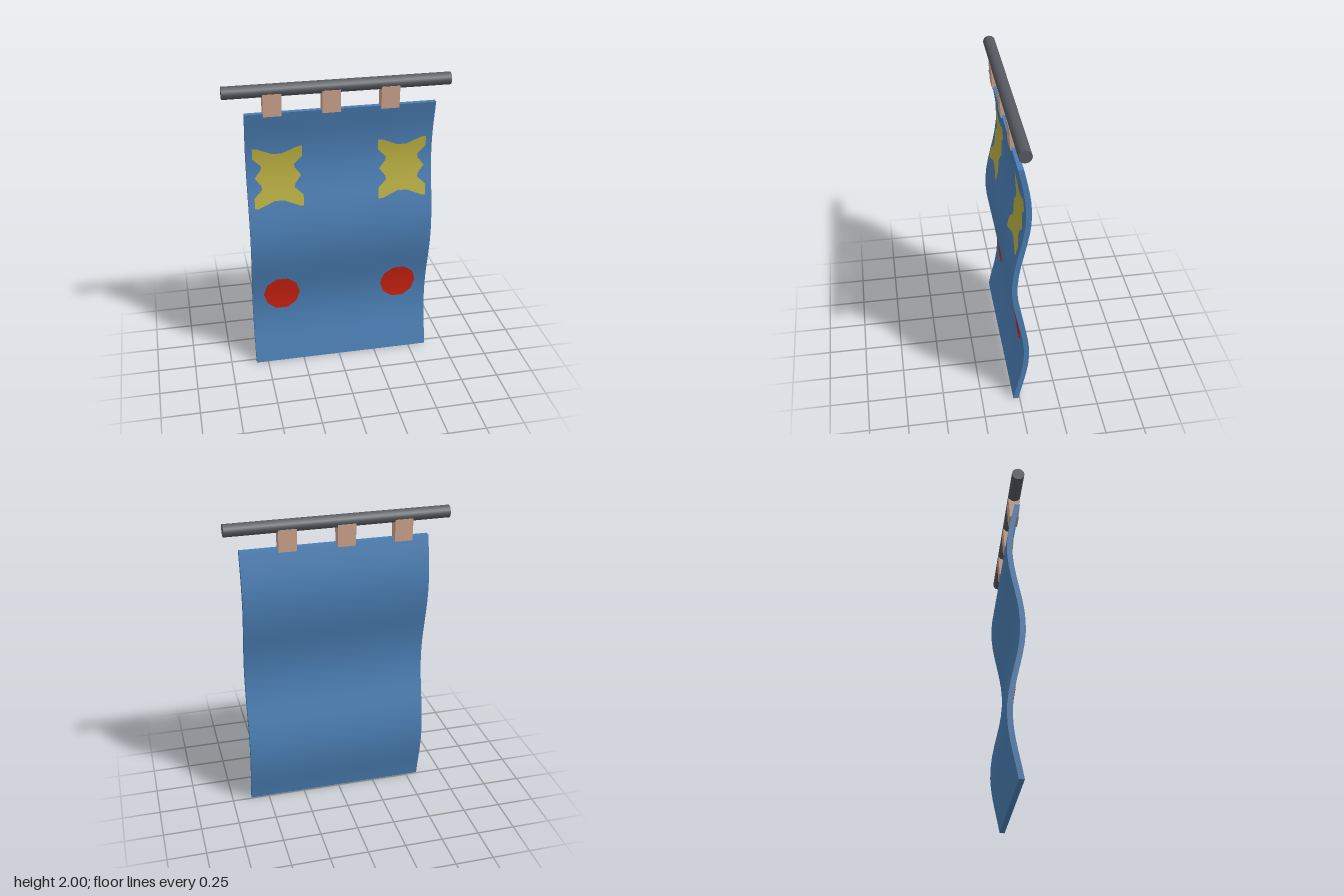
import * as THREE from 'three';
import { toCreasedNormals } from 'three/addons/utils/BufferGeometryUtils.js';

const material = (name, color, side = THREE.FrontSide) =>
  new THREE.MeshStandardMaterial({ name, color, side });

// Depth of the middle of the cloth at height y
const wave = (y) => -0.002 + 0.04 * Math.cos((2 * Math.PI * (y - 0.95)) / 1.1);
const HALF = 0.017;

// Wavy side profile extruded across the width
function clothGeometry(height, x0, x1) {
  const n = 24;
  const front = [], back = [];
  for (let i = 0; i <= n; i++) {
    const y = (height * i) / n;
    front.push(new THREE.Vector2(wave(y) + HALF, y));
    back.unshift(new THREE.Vector2(wave(y) - HALF, y));
  }
  const geo = new THREE.ExtrudeGeometry(new THREE.Shape([...front, ...back]), {
    depth: x1 - x0, bevelEnabled: false,
  });
  geo.rotateY(-Math.PI / 2).translate(x1, 0, 0);
  return toCreasedNormals(geo, 0.6);
}

// Patch made of shrinking rings of an outline, draped over the cloth front
function patchGeometry(outline, cx, cy) {
  const rings = 8, n = outline.length;
  const pos = [], index = [];
  for (let r = 0; r <= rings; r++) {
    for (const [px, py] of outline) {
      const y = cy + (py * r) / rings;
      pos.push(cx + (px * r) / rings, y, wave(y) + HALF + 0.006);
    }
  }
  for (let r = 0; r < rings; r++) {
    for (let i = 0; i < n; i++) {
      const a = r * n + i, b = r * n + ((i + 1) % n);
      if (r > 0) index.push(a, b + n, b);
      index.push(a, a + n, b + n);
    }
  }
  const geo = new THREE.BufferGeometry();
  geo.setAttribute('position', new THREE.Float32BufferAttribute(pos, 3));
  geo.setIndex(index);
  // Normals follow the slope of the cloth
  const normals = [];
  for (let i = 0; i < pos.length; i += 3) {
    const y = pos[i + 1];
    const slope = (wave(y + 0.001) - wave(y - 0.001)) / 0.002;
    const v = new THREE.Vector3(0, -slope, 1).normalize();
    normals.push(v.x, v.y, v.z);
  }
  geo.setAttribute('normal', new THREE.Float32BufferAttribute(normals, 3));
  return geo;
}

// Star outline: one quarter mirrored into four, counter-clockwise
function starOutline() {
  const quarter = [[0.148, 0], [0.108, 0.052], [0.104, 0.076], [0.157, 0.128],
    [0.157, 0.198], [0.128, 0.195], [0.03, 0.154]];
  const upper = [...quarter, ...quarter.slice().reverse().map(([x, y]) => [-x, y])];
  const lower = upper.slice(1, -1).reverse().map(([x, y]) => [x, -y]);
  return [...upper, ...lower];
}

export function createModel() {
  const group = new THREE.Group();
  const blue = material('blue cloth', 0x4b7fb5);
  const grey = material('dark grey rod', 0x565a60);
  const tan = material('tan loops', 0xd0a58e);
  const yellow = material('yellow patch', 0xb9ae40, THREE.DoubleSide);
  const red = material('red patch', 0xcc2210, THREE.DoubleSide);

  const add = (name, geo, mat) => {
    const mesh = new THREE.Mesh(geo, mat);
    mesh.name = name;
    group.add(mesh);
    return mesh;
  };

  add('cloth', clothGeometry(1.82, -0.58, 0.62), blue);

  // Hanging rod
  const rod = add('rod', new THREE.CylinderGeometry(0.04, 0.04, 1.42, 12), grey);
  rod.rotation.z = Math.PI / 2;
  rod.position.y = 1.96;

  // Hanging loops, slightly narrower towards the cloth
  for (const x of [-0.41, -0.045, 0.325]) {
    const geo = new THREE.BoxGeometry(0.115, 0.145, 0.076);
    const p = geo.attributes.position;
    for (let i = 0; i < p.count; i++) {
      if (p.getY(i) < 0) p.setZ(i, p.getZ(i) * 0.78);
    }
    geo.computeVertexNormals();
    add('hangingLoop', geo, tan).position.set(x, 1.8725, 0);
  }

  // Star and round patches on both sides
  const star = starOutline();
  const round = Array.from({ length: 10 }, (_, i) => {
    const a = (i * Math.PI) / 5;
    return [0.122 * Math.cos(a), 0.128 * Math.sin(a)];
  });
  for (const x of [-0.383, 0.42]) {
    add('starPatch', patchGeometry(star, x, 1.38), yellow);
    add('roundPatch', patchGeometry(round, x, 0.515), red);
  }
  return group;
}
